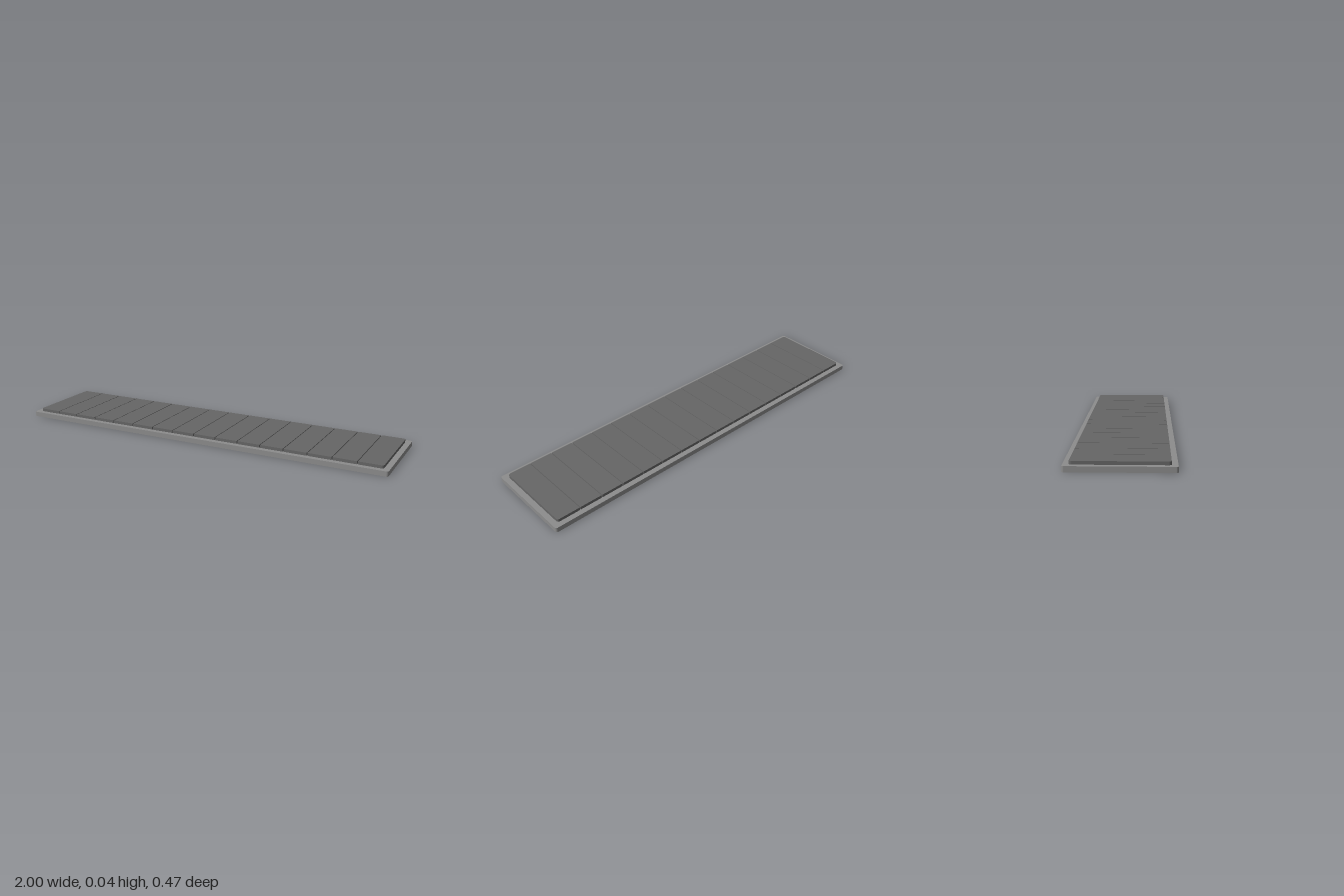
import * as THREE from 'three';

// Flat plate lying on the ground plane; rl / rr are the corner radii on its left-hand / right-hand ends
function plate(x0, x1, halfDepth, y0, y1, rl, rr) {
  const h = halfDepth;
  const s = new THREE.Shape();
  s.moveTo(x0 + rl, -h);
  s.lineTo(x1 - rr, -h);
  if (rr) s.absarc(x1 - rr, -h + rr, rr, -Math.PI / 2, 0);
  s.lineTo(x1, h - rr);
  if (rr) s.absarc(x1 - rr, h - rr, rr, 0, Math.PI / 2);
  s.lineTo(x0 + rl, h);
  if (rl) s.absarc(x0 + rl, h - rl, rl, Math.PI / 2, Math.PI);
  s.lineTo(x0, -h + rl);
  if (rl) s.absarc(x0 + rl, -h + rl, rl, Math.PI, Math.PI * 1.5);
  const g = new THREE.ExtrudeGeometry(s, { depth: y1 - y0, bevelEnabled: false, curveSegments: 5 });
  g.rotateX(-Math.PI / 2);
  g.translate(0, y0, 0);
  return g;
}

export function createModel() {
  const group = new THREE.Group();
  const baseMat = new THREE.MeshStandardMaterial({ color: 0x8c8c8c });
  const panelMat = new THREE.MeshStandardMaterial({ color: 0x666666 });

  // Base slab with slightly rounded corners
  const base = new THREE.Mesh(plate(-1, 1, 0.234, 0, 0.025, 0.01, 0.01), baseMat);
  base.name = 'base';
  group.add(base);

  // Raised row of panels separated by hairline gaps; only the outer corners are rounded
  const count = 16, half = 0.972, gap = 0.004, radius = 0.012;
  const pitch = (2 * half) / count;
  const panels = new THREE.Group();
  panels.name = 'panels';
  for (let i = 0; i < count; i++) {
    const first = i === 0, last = i === count - 1;
    const x0 = -half + i * pitch + (first ? 0 : gap / 2);
    const x1 = -half + (i + 1) * pitch - (last ? 0 : gap / 2);
    const panel = new THREE.Mesh(
      plate(x0, x1, 0.207, 0.025, 0.04, first ? radius : 0, last ? radius : 0), panelMat);
    panel.name = 'panel' + (i + 1);
    panels.add(panel);
  }
  group.add(panels);
  return group;
}
